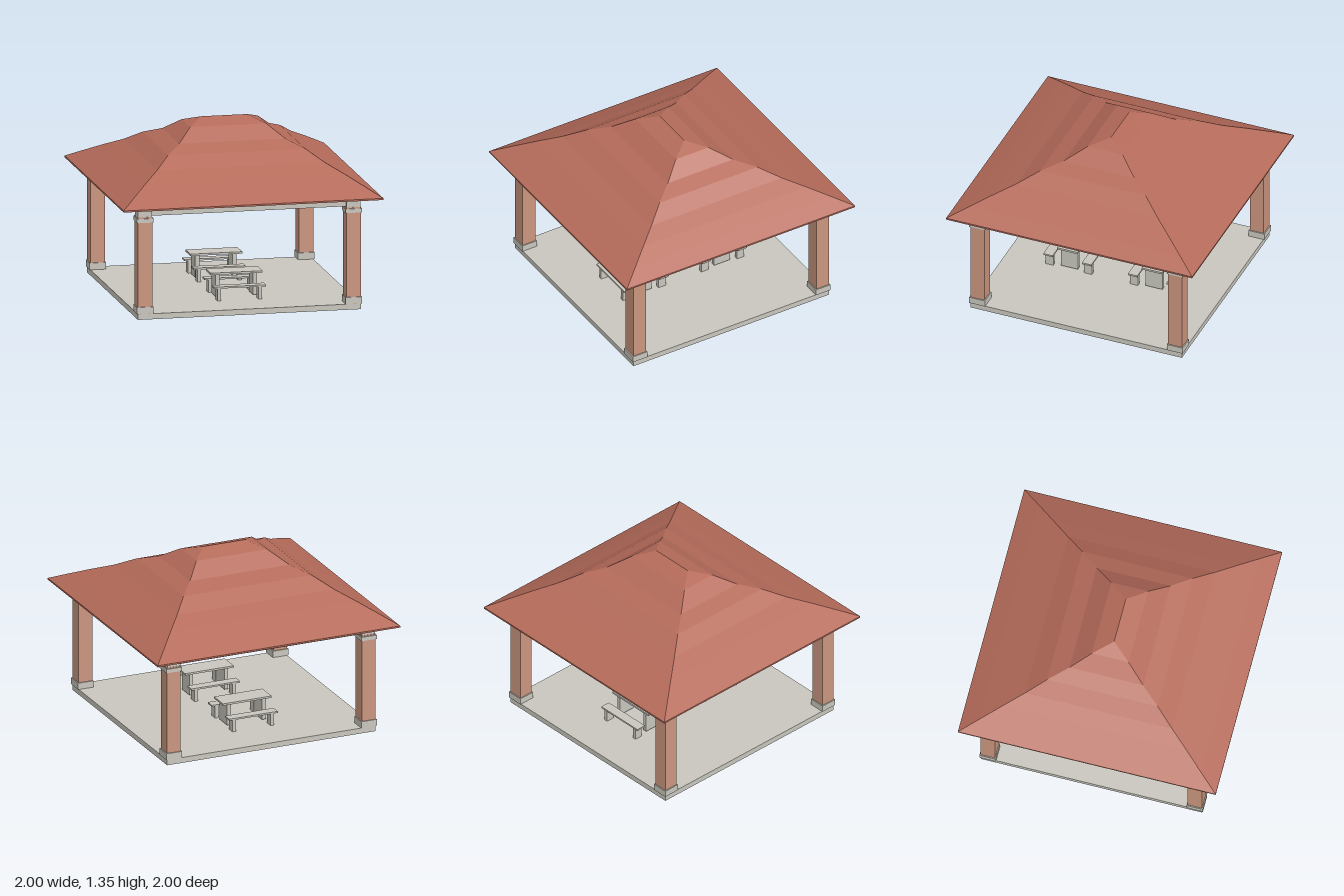
import * as THREE from 'three';

const material = (name, color) => {
  const m = new THREE.MeshStandardMaterial({ color });
  m.name = name;
  return m;
};

// Hipped roof shell: rectangular rings from the eaves up to the ridge
function roofGeometry() {
  const heights = [0.875, 0.945, 1.013, 1.077, 1.158, 1.21, 1.303, 1.35];
  const rings = [[1, 0.862, 1]];
  heights.forEach((y, k) => rings.push([1 - (0.825 * k) / 7, y, 1 - k / 7]));
  const corners = [[-1, 1], [1, 1], [1, -1], [-1, -1]];
  const positions = [];
  for (let i = 0; i < rings.length - 1; i++) {
    for (let s = 0; s < 4; s++) {
      const at = (ring, c) => [ring[0] * c[0], ring[1], ring[2] * c[1]];
      const c0 = corners[s], c1 = corners[(s + 1) % 4];
      const a = at(rings[i], c0), b = at(rings[i], c1);
      const c = at(rings[i + 1], c1), d = at(rings[i + 1], c0);
      positions.push(...a, ...b, ...c);
      // the end slopes close to a point at the ridge
      if (Math.hypot(c[0] - d[0], c[2] - d[2]) > 1e-6) positions.push(...a, ...c, ...d);
    }
  }
  const g = new THREE.BufferGeometry();
  g.setAttribute('position', new THREE.Float32BufferAttribute(positions, 3));
  g.computeVertexNormals();
  return g;
}

export function createModel() {
  const concrete = material('concrete', 0xc8c6bd);
  const brick = material('terracotta brick', 0xca967e);
  const tile = material('red roof', 0xb56b5a);
  tile.side = THREE.DoubleSide;

  const model = new THREE.Group();
  model.name = 'pavilion';

  // Box given by its centre in x and z, and its bottom and top
  const box = (parent, name, mat, w, d, y0, y1, x = 0, z = 0) => {
    const mesh = new THREE.Mesh(new THREE.BoxGeometry(w, y1 - y0, d), mat);
    mesh.position.set(x, (y0 + y1) / 2, z);
    mesh.name = name;
    parent.add(mesh);
  };

  box(model, 'floorSlab', concrete, 1.716, 1.716, 0, 0.043);

  // Corner columns with base, cap and top block
  const c = 0.803;
  for (const sx of [-1, 1]) {
    for (const sz of [-1, 1]) {
      const column = new THREE.Group();
      column.name = 'column';
      column.position.set(sx * c, 0, sz * c);
      box(column, 'columnBase', concrete, 0.128, 0.128, 0.046, 0.097);
      box(column, 'columnShaft', brick, 0.112, 0.112, 0.043, 0.786);
      box(column, 'columnCap', concrete, 0.128, 0.128, 0.745, 0.776);
      box(column, 'columnTopBlock', concrete, 0.108, 0.108, 0.786, 0.865);
      model.add(column);
    }
  }

  // Ring of beams under the eaves
  for (const s of [-1, 1]) {
    box(model, 'beam', concrete, 2 * c - 0.1, 0.075, 0.792, 0.865, 0, s * c);
    box(model, 'beam', concrete, 0.075, 2 * c - 0.1, 0.792, 0.865, s * c, 0);
  }

  const roof = new THREE.Mesh(roofGeometry(), tile);
  roof.name = 'roof';
  model.add(roof);

  // Two picnic tables, each with a bench on both sides
  for (const z of [-0.342, 0.346]) {
    const set = new THREE.Group();
    set.name = 'picnicTable';
    set.position.z = z;
    box(set, 'tableTop', concrete, 0.4, 0.166, 0.221, 0.236);
    for (const sx of [-1, 1]) box(set, 'tableLeg', concrete, 0.032, 0.138, 0.052, 0.221, sx * 0.144);
    for (const sz of [-1, 1]) {
      box(set, 'benchSeat', concrete, 0.4, 0.076, 0.139, 0.152, 0, sz * 0.157);
      for (const sx of [-1, 1]) {
        box(set, 'benchLeg', concrete, 0.028, 0.063, 0.043, 0.139, sx * 0.157, sz * 0.157);
      }
    }
    model.add(set);
  }
  return model;
}
